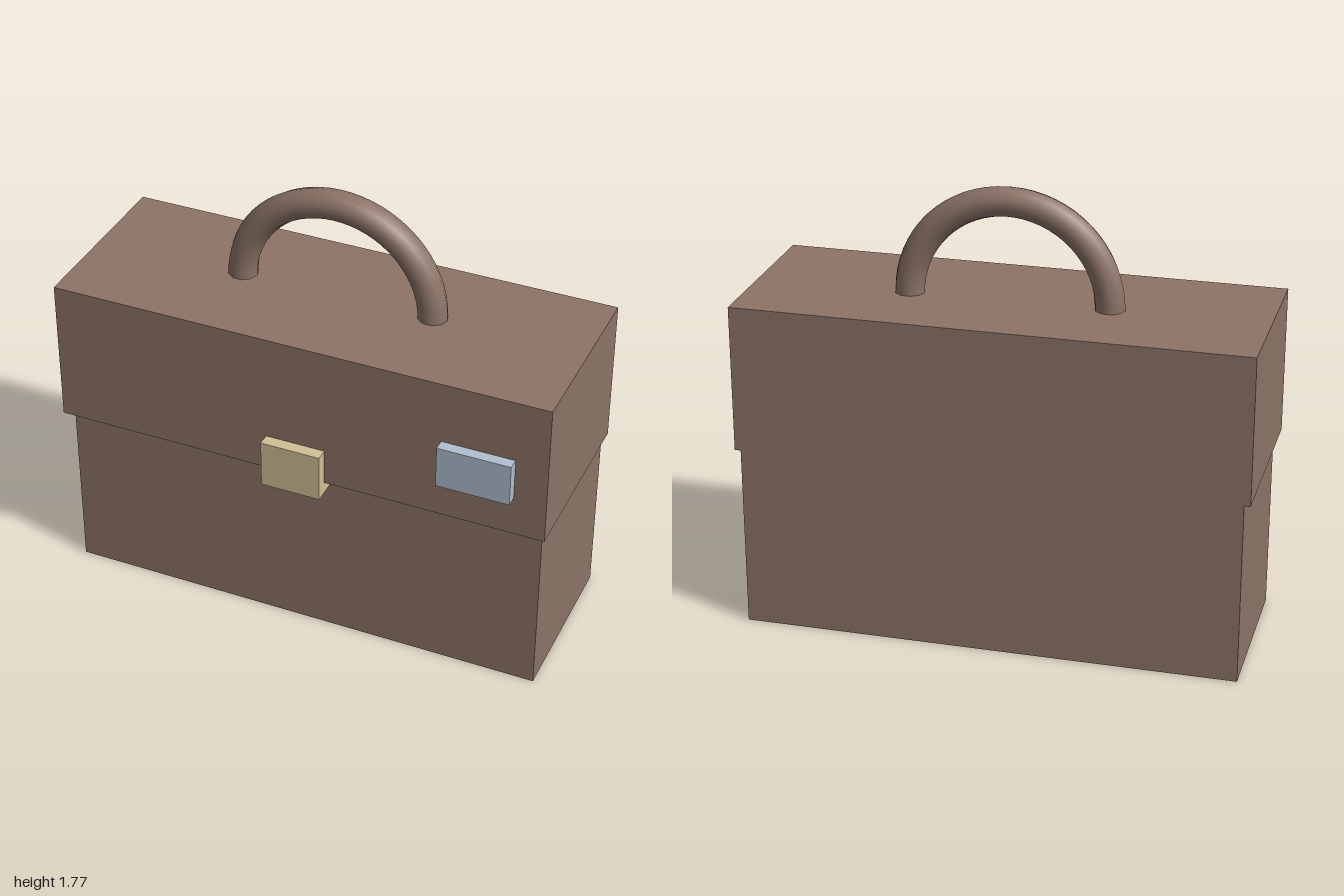
import * as THREE from 'three';

const material = (name, color) => {
  const m = new THREE.MeshStandardMaterial({ color });
  m.name = name;
  return m;
};

export function createModel() {
  const group = new THREE.Group();
  group.name = 'briefcase';

  const leather = material('brown leather', 0x8d7468);
  const brass = material('pale brass', 0xd2bf95);
  const tagBlue = material('pale blue', 0xb0bfcf);

  // Box given by its min and max on each axis
  const addBox = (name, mat, [x0, x1], [y0, y1], [z0, z1]) => {
    const mesh = new THREE.Mesh(new THREE.BoxGeometry(x1 - x0, y1 - y0, z1 - z0), mat);
    mesh.position.set((x0 + x1) / 2, (y0 + y1) / 2, (z0 + z1) / 2);
    mesh.name = name;
    group.add(mesh);
  };

  // Case body and the wider flap over its upper half
  addBox('body', leather, [-0.976, 0.976], [0, 0.732], [-0.39, 0.293]);
  addBox('flap', leather, [-1, 1], [0.732, 1.317], [-0.39, 0.341]);

  // Clasp bridging flap and body, and the name tag
  addBox('clasp', brass, [-0.12, 0.12], [0.685, 0.88], [0.293, 0.39]);
  addBox('tag', tagBlue, [0.585, 0.873], [0.894, 1.065], [0.33, 0.386]);

  // Half-ring carrying handle
  const handle = new THREE.Mesh(new THREE.TorusGeometry(0.39, 0.0585, 10, 32, Math.PI), leather);
  handle.position.set(0, 1.317, -0.049);
  handle.name = 'handle';
  group.add(handle);

  return group;
}
